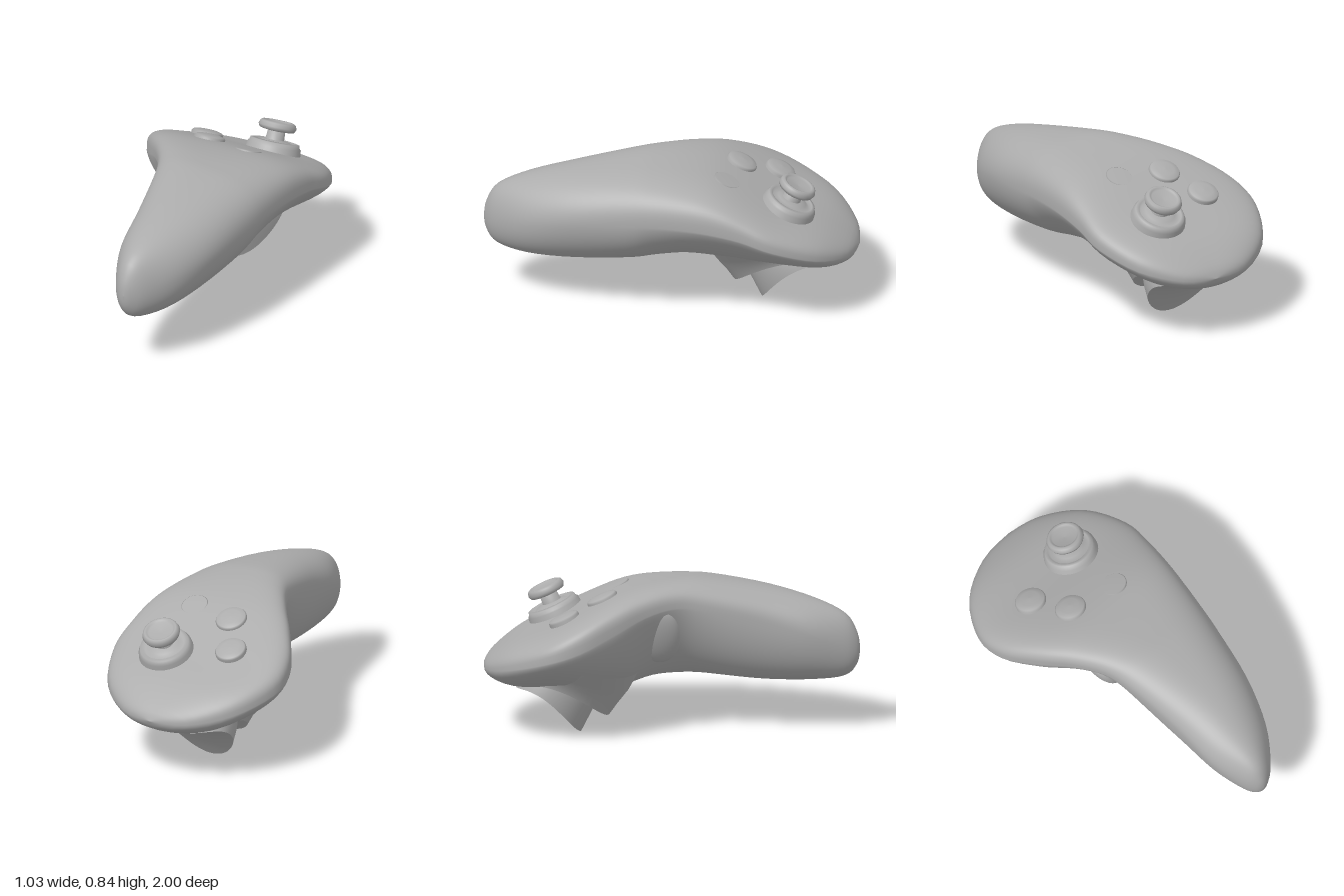
import * as THREE from 'three';
import { toCreasedNormals } from 'three/addons/utils/BufferGeometryUtils.js';

const grey = new THREE.MeshStandardMaterial({ color: 0xacacac });
grey.name = 'grey plastic';

function mesh(name, geometry) {
  const m = new THREE.Mesh(geometry, grey);
  m.name = name;
  return m;
}

// Skin a list of closed rings, each an array of Vector3
function loft(rings) {
  const n = rings[0].length, pos = [], idx = [];
  rings.forEach(r => r.forEach(p => pos.push(p.x, p.y, p.z)));
  for (let i = 0; i < rings.length - 1; i++) {
    for (let j = 0; j < n; j++) {
      const a = i * n + j, b = i * n + (j + 1) % n;
      idx.push(a, b, a + n, b, b + n, a + n);
    }
  }
  const g = new THREE.BufferGeometry();
  g.setAttribute('position', new THREE.Float32BufferAttribute(pos, 3));
  g.setIndex(idx);
  g.computeVertexNormals();
  return g;
}

// Body stations: z, left x, right x, top, bottom, left side y, right side y, keel x, top power, keel power
const stations = [
  [-1, 0.02, 0.02, 0.35, 0.35, 0.35, 0.35, 0.02, 2.4, 1.9],
  [-0.96, -0.19, 0.21, 0.415, 0.295, 0.36, 0.36, 0.01, 2.6, 1.9],
  [-0.82, -0.395, 0.40, 0.515, 0.245, 0.41, 0.41, -0.02, 3.2, 1.6],
  [-0.6, -0.51, 0.505, 0.615, 0.235, 0.48, 0.49, -0.03, 3.6, 1.45],
  [-0.42, -0.495, 0.512, 0.705, 0.22, 0.54, 0.55, -0.03, 3.7, 1.4],
  [-0.25, -0.39, 0.508, 0.782, 0.25, 0.62, 0.58, 0, 3.5, 1.5],
  [-0.1, -0.27, 0.50, 0.822, 0.29, 0.69, 0.59, 0.07, 3.2, 1.65],
  [0.05, -0.17, 0.49, 0.84, 0.295, 0.72, 0.59, 0.13, 2.9, 1.8],
  [0.2, -0.115, 0.478, 0.838, 0.285, 0.70, 0.58, 0.17, 2.6, 1.95],
  [0.5, -0.05, 0.44, 0.79, 0.265, 0.63, 0.55, 0.18, 2.2, 2],
  [0.75, -0.01, 0.365, 0.725, 0.27, 0.55, 0.50, 0.18, 2, 2],
  [0.92, 0.06, 0.26, 0.645, 0.30, 0.48, 0.46, 0.16, 2, 2],
  [0.985, 0.11, 0.19, 0.54, 0.37, 0.45, 0.45, 0.15, 2, 2],
  [1, 0.15, 0.15, 0.45, 0.45, 0.45, 0.45, 0.15, 2, 2],
];

// Catmull-Rom blend of the station values
function station(t) {
  const last = stations.length - 1;
  const i = Math.min(Math.floor(t), last - 1), u = t - i;
  const p = k => stations[Math.max(0, Math.min(last, k))];
  return stations[0].map((_, c) => {
    const a = p(i - 1)[c], b = p(i)[c], d = p(i + 1)[c], e = p(i + 2)[c];
    return b + 0.5 * u * (d - a + u * (2 * a - 5 * b + 4 * d - e + u * (3 * (b - d) + e - a)));
  });
}

function bodyRing(t, n = 72) {
  const [z, xl, xr, top, bottom, yl, yr, keel, eTop, eBottom] = station(t);
  const mid = (xl + xr) / 2, half = (xr - xl) / 2;
  // The handle's top leans down to the right; its inner wall slopes in below the ridge
  const lean = 0.13 * half * THREE.MathUtils.smoothstep(z, -0.4, 0.2);
  const slopeIn = 0.55 * Math.exp(-(((z - 0.02) / 0.22) ** 2));
  return Array.from({ length: n }, (_, j) => {
    const a = (j / n) * Math.PI * 2, c = Math.cos(a), s = Math.sin(a);
    const power = 2 / (s > 0 ? eTop : eBottom - (c < 0 ? slopeIn : 0));
    const px = Math.sign(c) * Math.abs(c) ** power, py = Math.abs(s) ** power;
    const side = yl + (yr - yl) * (px + 1) / 2;
    const x = mid + half * px + (s < 0 ? (keel - mid) * py : 0);
    const limit = s > 0 ? top - lean * (px + 0.45) : bottom;
    return new THREE.Vector3(x, side + (limit - side) * py, z);
  });
}

// Saddle-shaped ring used by the trigger and its housing
function saddle(rx, rz, cz, y, slope, arch, n = 48) {
  return Array.from({ length: n }, (_, j) => {
    const a = (j / n) * Math.PI * 2, c = Math.cos(a), s = Math.sin(a);
    return new THREE.Vector3(-0.03 + rx * c, y - slope * s + arch * c * c, cz + rz * s);
  });
}

// Lathe standing on the tilted control face
const TILT = -0.43;
function onFace(name, x, z, lift, profile) {
  const points = profile.map(([r, y]) => new THREE.Vector2(r, y));
  const m = mesh(name, new THREE.LatheGeometry(points, 40));
  m.position.set(x, 0.80 + (z + 0.2) * 0.455 + lift, z);
  m.rotation.x = TILT;
  return m;
}

export function createModel() {
  const model = new THREE.Group();
  model.name = 'handheld controller';

  // Head and handle in one smooth shell
  const rings = [], steps = (stations.length - 1) * 4;
  for (let i = 0; i <= steps; i++) rings.push(bodyRing(i / 4));
  model.add(mesh('body', loft(rings)));

  // Flared trigger housing under the head
  model.add(mesh('triggerHousing', toCreasedNormals(loft([
    saddle(0.36, 0.29, -0.45, 0.40, 0.06, 0),
    saddle(0.30, 0.28, -0.50, 0.30, 0.07, 0.04),
    saddle(0.262, 0.262, -0.54, 0.235, 0.08, 0.08),
    saddle(0.245, 0.25, -0.57, 0.175, 0.08, 0.1),
    saddle(0.225, 0.235, -0.575, 0.19, 0.075, 0.1),
    saddle(0, 0, -0.58, 0.26, 0, 0),
  ]), 0.7)));

  // Trigger: short wall, then a curved finger face closing to its middle
  const trigger = [
    saddle(0.2, 0.19, -0.56, 0.30, 0.10, 0.04),
    saddle(0.222, 0.18, -0.61, 0.19, 0.11, 0.08),
  ];
  for (const r of [1, 0.8, 0.6, 0.4, 0.2, 0]) {
    trigger.push(saddle(0.225 * r, 0.175 * r, -0.645, 0.185 - 0.065 * r * r, 0.12 * r, 0.1 * r * r));
  }
  model.add(mesh('trigger', toCreasedNormals(loft(trigger), 0.7)));

  // Grip lever on the inner side of the handle
  const lever = mesh('gripLever', new THREE.SphereGeometry(1, 32, 20));
  lever.scale.set(0.055, 0.18, 0.12);
  lever.position.set(-0.115, 0.56, -0.05);
  lever.rotation.z = 0.4;
  model.add(lever);

  // Face buttons
  const button = [[0.085, -0.04], [0.085, 0.012], [0.078, 0.022], [0.05, 0.029], [0, 0.032]];
  model.add(onFace('upperButton', -0.2, -0.54, 0, button));
  model.add(onFace('lowerButton', -0.08, -0.35, 0, button));
  model.add(onFace('flushButton', 0.18, -0.31, -0.004,
    [[0.073, -0.04], [0.073, 0.006], [0.068, 0.009], [0, 0.009]]));

  // Thumbstick: stepped socket, stem and dished cap
  model.add(onFace('stickSocket', 0.15, -0.635, 0, [
    [0.155, -0.04], [0.145, 0.025], [0.137, 0.032], [0.133, 0.048], [0.115, 0.052],
    [0.105, 0.036], [0.08, 0.05], [0.05, 0.058], [0, 0.062]]));
  model.add(onFace('stickStem', 0.15, -0.63, 0,
    [[0.07, 0.03], [0.05, 0.06], [0.045, 0.13], [0, 0.13]]));
  model.add(onFace('stickCap', 0.15, -0.63, 0, [
    [0, 0.105], [0.07, 0.105], [0.095, 0.11], [0.103, 0.128], [0.096, 0.148],
    [0.085, 0.155], [0.074, 0.152], [0.066, 0.143], [0, 0.138]]));

  return model;
}
